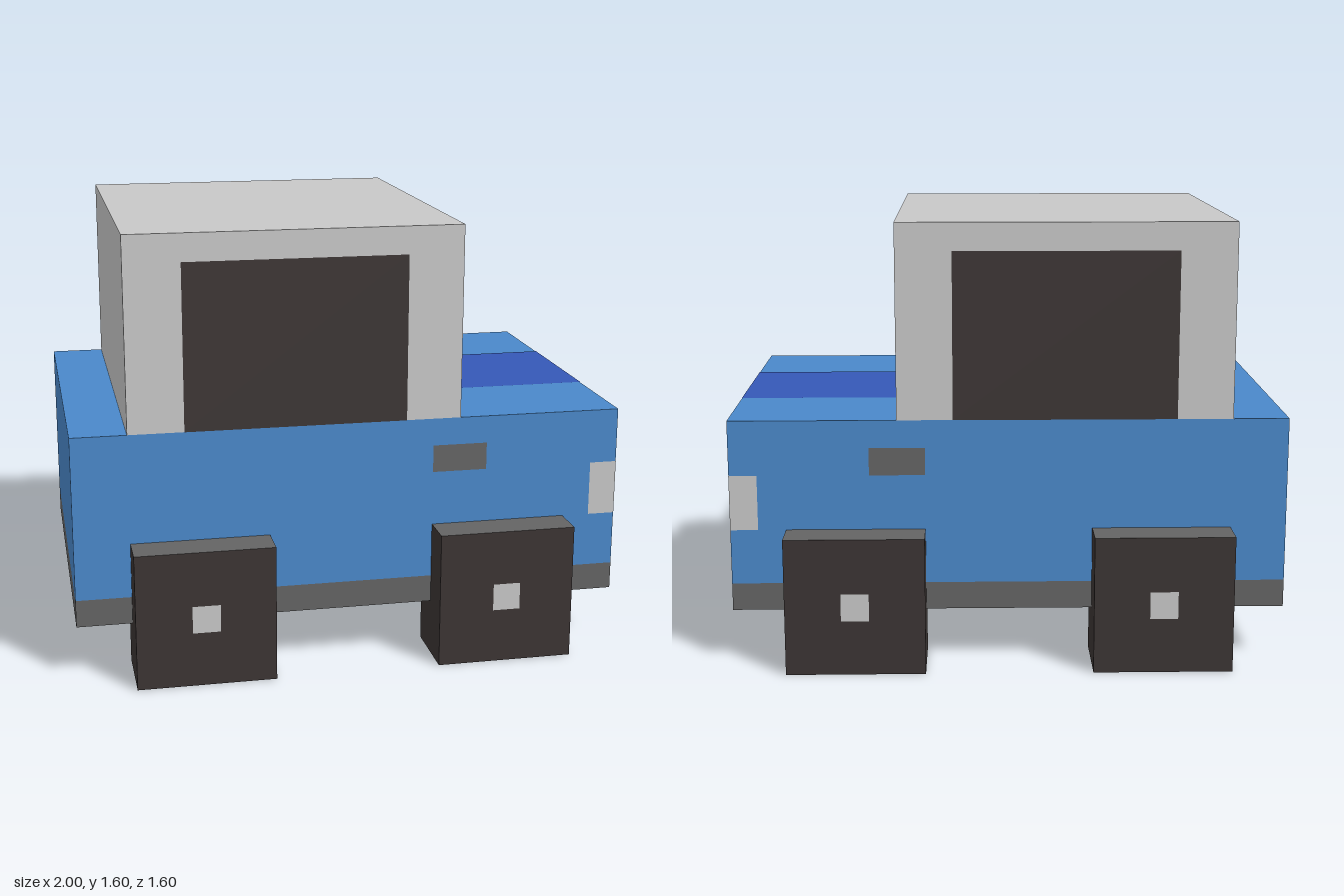
import * as THREE from 'three';

const flat = (name, color) => {
  const m = new THREE.MeshStandardMaterial({ color });
  m.name = name;
  return m;
};

export function createModel() {
  const blue = flat('body blue', 0x4a88ca);
  const stripeBlue = flat('stripe blue', 0x3558b7);
  const light = flat('light grey', 0xc8c8c8);
  const grey = flat('trim grey', 0x646464);
  const dark = flat('dark', 0x3b3433);

  const car = new THREE.Group();
  car.name = 'car';
  const HALF = 0.667; // half width of the body
  const GAP = 0.002; // painted details sit just off the surface

  // Box from its min and max corners
  const box = (name, [x0, y0, z0], [x1, y1, z1], material) => {
    const mesh = new THREE.Mesh(new THREE.BoxGeometry(x1 - x0, y1 - y0, z1 - z0), material);
    mesh.position.set((x0 + x1) / 2, (y0 + y1) / 2, (z0 + z1) / 2);
    mesh.name = name;
    car.add(mesh);
  };

  const panel = (name, w, h, material, position, rotX, rotY) => {
    const mesh = new THREE.Mesh(new THREE.PlaneGeometry(w, h), material);
    mesh.position.set(...position);
    mesh.rotation.set(rotX, rotY, 0);
    mesh.name = name;
    car.add(mesh);
  };
  // Panel on a long side of the car, side = 1 or -1
  const sidePanel = (name, x0, x1, y0, y1, side, material, z = HALF) =>
    panel(name, x1 - x0, y1 - y0, material,
      [(x0 + x1) / 2, (y0 + y1) / 2, side * (z + GAP)], 0, side > 0 ? 0 : Math.PI);
  // Panel facing the driving direction, +x
  const nosePanel = (name, z0, z1, y0, y1, x, material) =>
    panel(name, z1 - z0, y1 - y0, material,
      [x + GAP, (y0 + y1) / 2, (z0 + z1) / 2], 0, Math.PI / 2);

  // Body, lower trim with a blue underside, and cabin
  box('body', [-1, 0.3, -HALF], [1, 0.9, HALF], blue);
  box('lowerTrim', [-1, 0.2, -HALF], [1, 0.3, HALF], [grey, grey, grey, blue, grey, grey]);
  box('cabin', [-0.8, 0.9, -HALF], [0.4, 1.6, HALF], light);

  // Windscreen and bonnet stripe
  nosePanel('windscreen', -0.53, 0.53, 0.9, 1.5, 0.4, dark);
  nosePanel('noseStripe', -0.267, 0.267, 0.6, 0.9, 1, stripeBlue);
  panel('bonnetStripe', 0.6, 0.534, stripeBlue, [0.7, 0.9 + GAP, 0], -Math.PI / 2, 0);

  for (const side of [1, -1]) {
    sidePanel('sideWindow', -0.6, 0.2, 0.9, 1.5, side, dark);
    sidePanel('doorHandle', 0.3, 0.5, 0.7, 0.8, side, grey);

    // Headlight wrapping around the corner
    sidePanel('headlightSide', 0.9, 1, 0.5, 0.7, side, light);
    nosePanel('headlightFront', Math.min(side * 0.4, side * HALF), Math.max(side * 0.4, side * HALF),
      0.5, 0.7, 1, light);

    // Square wheels with grey tops and small hubs
    for (const x of [-0.55, 0.55]) {
      const z = side * HALF;
      box('wheel', [x - 0.25, 0, z - 0.133], [x + 0.25, 0.5, z + 0.133],
        [dark, dark, grey, dark, dark, dark]);
      sidePanel('hub', x - 0.05, x + 0.05, 0.2, 0.3, side, light, 0.8);
    }
  }
  return car;
}
